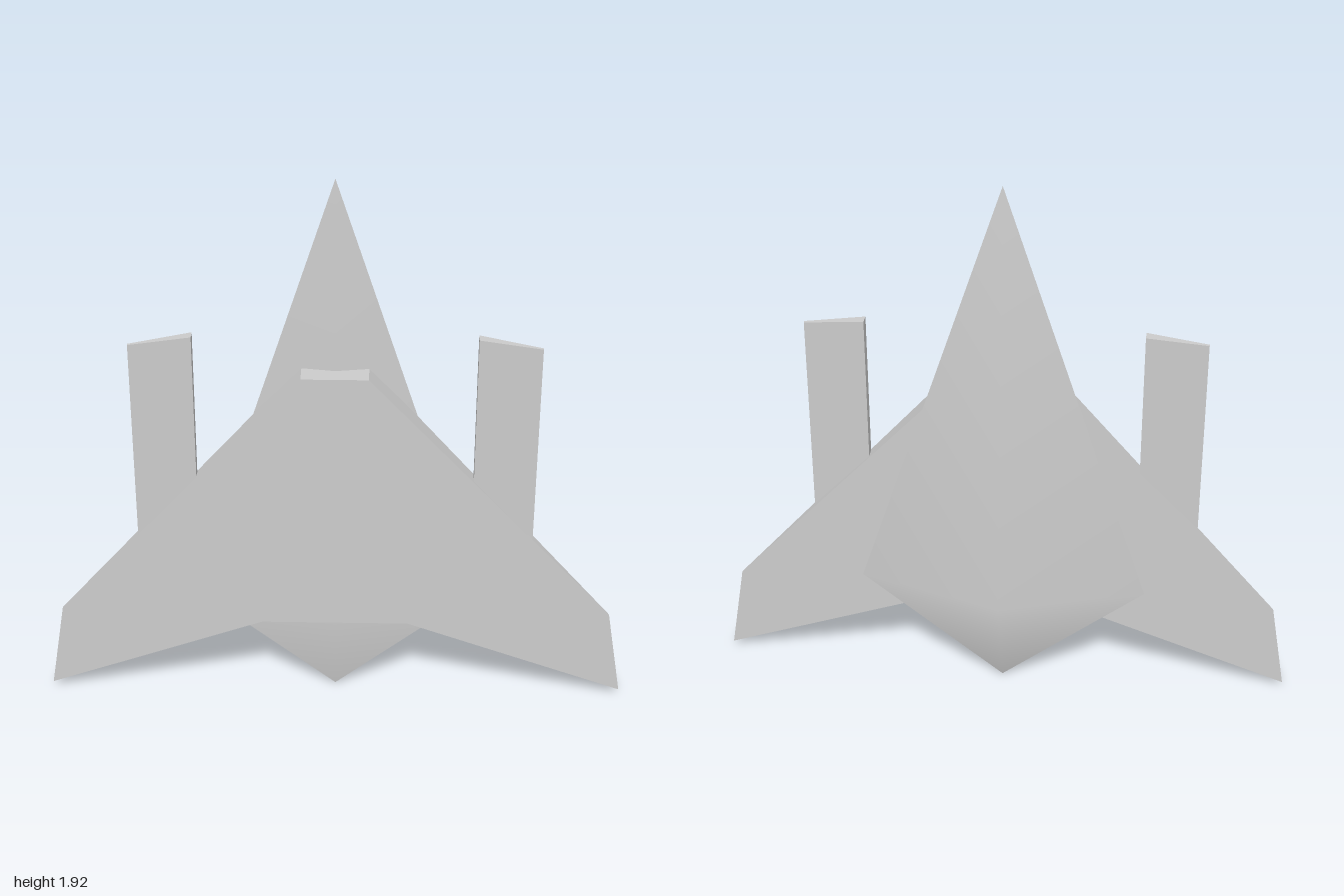
import * as THREE from 'three';
import { mergeGeometries } from 'three/addons/utils/BufferGeometryUtils.js';

const material = new THREE.MeshStandardMaterial({ color: 0xcccccc });

// One smooth sheet; separate sheets keep a sharp edge between them.
function sheet(points, faces) {
  const g = new THREE.BufferGeometry();
  g.setAttribute('position', new THREE.Float32BufferAttribute(points.flat(), 3));
  g.setIndex(faces.flat());
  g.computeVertexNormals();
  return g;
}

const flip = (faces) => faces.map(([a, b, c]) => [a, c, b]);

function part(name, sheets) {
  const mesh = new THREE.Mesh(mergeGeometries(sheets), material);
  mesh.name = name;
  return mesh;
}

// Solid plate from a counter-clockwise outline of [x, y, backZ, frontZ].
function plate(name, outline, faces) {
  const front = outline.map(([x, y, , f]) => [x, y, f]);
  const back = outline.map(([x, y, b]) => [x, y, b]);
  const sheets = [sheet(front, faces), sheet(back, flip(faces))];
  outline.forEach((p, i) => {
    const j = (i + 1) % outline.length;
    if (p[2] === p[3] && outline[j][2] === outline[j][3]) return; // knife edge
    sheets.push(sheet([front[i], back[i], back[j], front[j]], [[0, 1, 2], [0, 2, 3]]));
  });
  return part(name, sheets);
}

export function createModel() {
  const group = new THREE.Group();

  // Kite-shaped hull: a shallow pyramid in front, a deeper one behind
  const rim = [[0, 1.92, 0.03], [-0.495, 0.4, 0.03], [0, 0, 0.03], [0.495, 0.4, 0.03]];
  const fan = [[4, 0, 1], [4, 1, 2], [4, 2, 3], [4, 3, 0]];
  group.add(part('hull', [
    sheet([...rim, [0, 0.4, 0.11]], fan),
    sheet([...rim, [0, 0.4, -0.12]], flip(fan)),
  ]));

  // Swept wing, thick at the middle and tapering to knife-edge tips
  const half = [[-0.11, 1.27, 0.025, 0.125], [-0.945, 0.34, 0.075, 0.075],
    [-1, 0.02, 0.075, 0.075], [-0.25, 0.325, 0.025, 0.125]];
  const mirrored = half.map(([x, ...rest]) => [-x, ...rest]).reverse();
  group.add(plate('wing', [...half, ...mirrored],
    [[0, 1, 2], [0, 2, 3], [3, 4, 7], [3, 7, 0], [4, 5, 6], [4, 6, 7]]));

  // Wedge-section prongs rising from each wing, thin on the outside
  const prong = [[0.46, 1.4, 0.055, 0.092], [0.46, 0.5, 0.055, 0.092],
    [0.665, 0.5, 0.082, 0.092], [0.665, 1.37, 0.082, 0.092]];
  const quad = [[0, 1, 2], [0, 2, 3]];
  group.add(plate('leftProng', prong, quad));
  group.add(plate('rightProng', prong.map(([x, ...rest]) => [-x, ...rest]).reverse(), quad));

  return group;
}
